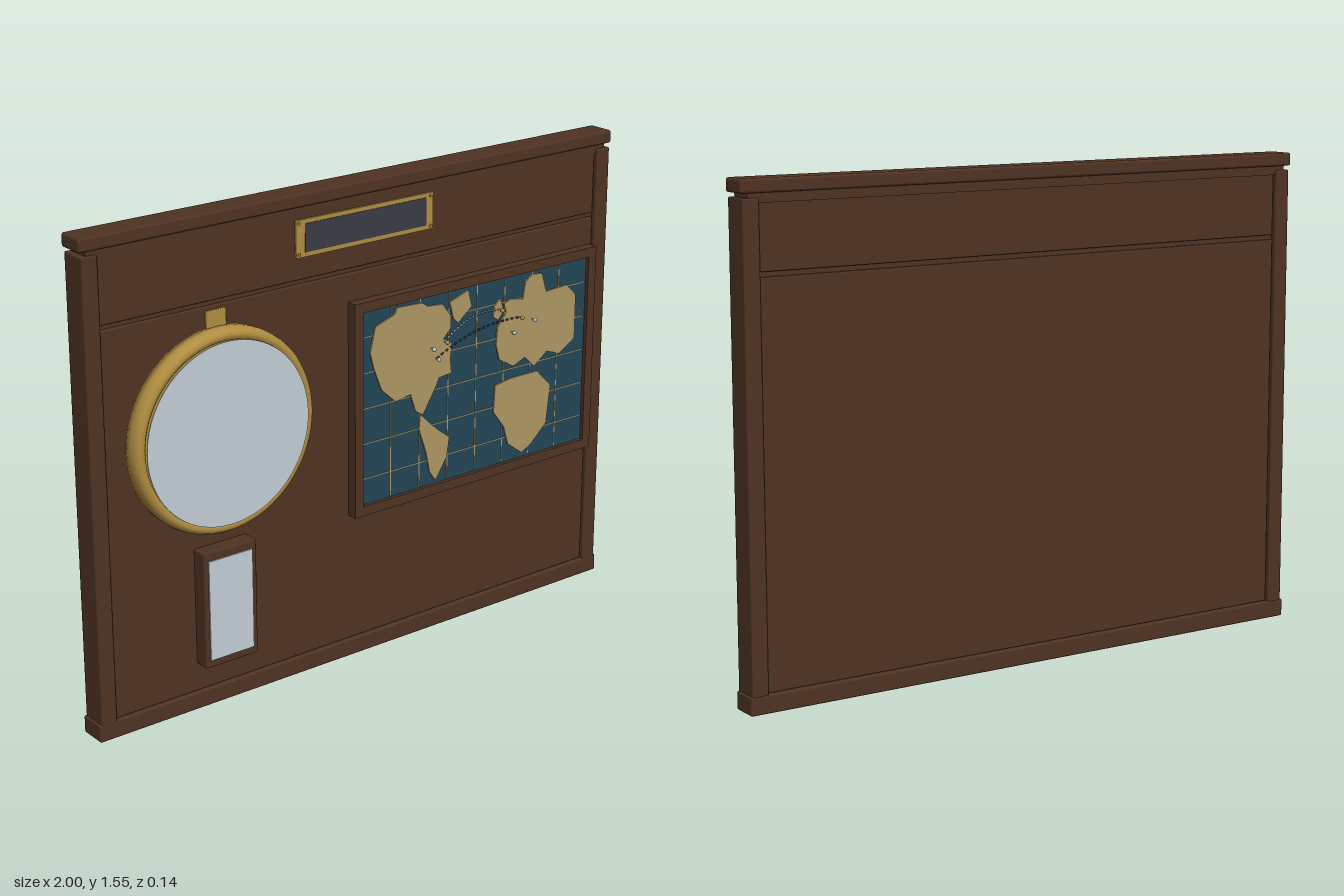
import * as THREE from 'three';
import { RoundedBoxGeometry } from 'three/addons/geometries/RoundedBoxGeometry.js';

const paint = (name, color, side = THREE.FrontSide) => {
  const m = new THREE.MeshStandardMaterial({ color, side });
  m.name = name;
  return m;
};

export function createModel() {
  const wood = paint('dark wood', 0x4f3323);
  const brass = paint('brass', 0xb08d40);
  const glass = paint('pale glass', 0xc3ced5);
  const sea = paint('sea blue', 0x234558);
  const land = paint('parchment land', 0xae9762);
  const slate = paint('slate plate', 0x3b3b46);
  const silver = paint('silver', 0xb9c4cc);

  const root = new THREE.Group();
  root.name = 'wallPanel';
  const group = (name) => {
    const g = new THREE.Group();
    g.name = name;
    root.add(g);
    return g;
  };
  const add = (parent, name, geometry, material, x = 0, y = 0, z = 0) => {
    const m = new THREE.Mesh(geometry, material);
    m.name = name;
    m.position.set(x, y, z);
    parent.add(m);
    return m;
  };
  // Box given by its limits; r rounds the edges
  const block = (parent, name, mat, x0, x1, y0, y1, z0, z1, r = 0) => {
    const s = [x1 - x0, y1 - y0, z1 - z0];
    const g = r ? new RoundedBoxGeometry(...s, 2, r) : new THREE.BoxGeometry(...s);
    return add(parent, name, g, mat, (x0 + x1) / 2, (y0 + y1) / 2, (z0 + z1) / 2);
  };
  // Rectangular frame with an open centre
  const frame = (parent, name, mat, x0, x1, y0, y1, w, z0, z1) => {
    const rect = (path, a, b, c, d) =>
      path.moveTo(a, c).lineTo(b, c).lineTo(b, d).lineTo(a, d).closePath();
    const shape = new THREE.Shape();
    rect(shape, x0, x1, y0, y1);
    const hole = new THREE.Path();
    rect(hole, x0 + w, x1 - w, y0 + w, y1 - w);
    shape.holes.push(hole);
    const g = new THREE.ExtrudeGeometry(shape, { depth: z1 - z0, bevelEnabled: false });
    return add(parent, name, g, mat, 0, 0, z0);
  };

  // Wooden wall section
  const wall = group('wall');
  block(wall, 'core', wood, -0.95, 0.95, 0.04, 1.5, -0.05, 0);
  block(wall, 'lowerPanel', wood, -0.937, 0.937, 0.058, 1.27, -0.06, 0.01, 0.004);
  block(wall, 'upperPanel', wood, -0.937, 0.937, 1.285, 1.5, -0.06, 0.01, 0.004);
  block(wall, 'baseRail', wood, -1, 1, 0, 0.057, -0.072, 0.02, 0.006);
  block(wall, 'topNeck', wood, -0.975, 0.975, 1.48, 1.52, -0.064, 0.013);
  block(wall, 'topRail', wood, -1, 1, 1.508, 1.55, -0.072, 0.02, 0.008);
  for (const s of [-1, 1]) {
    const [a, b] = s > 0 ? [0.94, 0.993] : [-0.993, -0.94];
    block(wall, s > 0 ? 'leftPost' : 'rightPost', wood, a, b, 0.045, 1.495, -0.07, 0.02, 0.005);
  }

  // Nameplate with corner screws
  const plate = group('nameplate');
  block(plate, 'plateBacking', brass, -0.262, 0.258, 1.355, 1.47, 0.005, 0.017);
  block(plate, 'plateFace', slate, -0.23, 0.23, 1.369, 1.457, 0.015, 0.019);
  for (const x of [-0.252, 0.248]) for (const y of [1.365, 1.46]) {
    const screw = add(plate, 'screw', new THREE.CylinderGeometry(0.005, 0.005, 0.006, 10), brass, x, y, 0.018);
    screw.rotation.x = Math.PI / 2;
  }

  // Round glass in a brass ring
  const round = group('roundGlass');
  round.position.set(-0.55, 0.89, 0);
  const profile = [
    [0.28, 0.01], [0.318, 0.01], [0.319, 0.035], [0.316, 0.05], [0.31, 0.06],
    [0.3, 0.065], [0.289, 0.063], [0.282, 0.056], [0.28, 0.045], [0.28, 0.01],
  ].map(([r, h]) => new THREE.Vector2(r, h));
  add(round, 'brassRing', new THREE.LatheGeometry(profile.reverse(), 72),
    paint('brass', 0xb08d40, THREE.DoubleSide), 0, 0, 0).rotation.x = Math.PI / 2;
  round.children[0].material = brass;
  brass.side = THREE.DoubleSide;
  const disc = (name, r, d, mat, z) => {
    add(round, name, new THREE.CylinderGeometry(r, r, d, 72), mat, 0, 0, z).rotation.x = Math.PI / 2;
  };
  disc('ringBacking', 0.282, 0.02, brass, 0.02);
  disc('hub', 0.014, 0.05, brass, 0.045);
  disc('glassDisc', 0.286, 0.003, glass, 0.071);
  block(round, 'hangerTab', brass, -0.034, 0.034, 0.31, 0.367, 0.005, 0.02, 0.003);

  // Small framed glass below
  const small = group('smallGlass');
  block(small, 'smallFrame', wood, -0.645, -0.455, 0.15, 0.527, 0.005, 0.061, 0.004);
  block(small, 'smallPane', glass, -0.63, -0.472, 0.175, 0.5, 0.059, 0.065);

  // Framed map
  const map = group('map');
  frame(map, 'mapFrame', wood, -0.065, 0.928, 0.482, 1.18, 0.032, 0.005, 0.044);
  block(map, 'sea', sea, -0.036, 0.898, 0.512, 1.15, 0.005, 0.031);
  for (let k = -3; k <= 3; k++) {
    const x = 0.43 + k * 0.1155;
    block(map, 'meridian', land, x - 0.0015, x + 0.0015, 0.52, 1.143, 0.03, 0.0325);
  }
  for (let k = -2; k <= 2; k++) {
    const y = 0.832 + k * 0.116;
    block(map, 'parallel', land, -0.025, 0.887, y - 0.0015, y + 0.0015, 0.03, 0.0325);
  }

  // Land outlines, in thousandths
  const lands = {
    northwestLand: [0, 1010, 20, 1090, 95, 1115, 105, 1135, 205, 1130, 225, 1115, 285, 1110, 320, 1065,
      320, 1025, 290, 995, 325, 975, 320, 920, 325, 875, 275, 870, 260, 840, 210, 760, 180, 780,
      160, 840, 100, 830, 45, 880, 15, 955],
    southwestLand: [200, 765, 240, 725, 280, 690, 320, 660, 310, 595, 265, 525, 240, 560, 225, 630, 195, 715],
    northIsland: [315, 1110, 390, 1135, 405, 1080, 350, 1035, 330, 1055],
    smallIsland: [500, 1060, 525, 1080, 540, 1035, 515, 1010, 495, 1025],
    northeastLand: [515, 985, 550, 1030, 540, 1060, 570, 1070, 620, 1060, 630, 1115, 660, 1135, 700, 1130,
      720, 1065, 810, 1070, 850, 1030, 850, 880, 785, 840, 730, 860, 675, 820, 635, 860, 585, 840,
      525, 875, 510, 930],
    southeastLand: [510, 790, 575, 800, 690, 800, 750, 740, 735, 610, 670, 550, 630, 530, 570, 575, 550, 640, 505, 700],
  };
  for (const [name, p] of Object.entries(lands)) {
    const pts = [];
    for (let i = 0; i < p.length; i += 2) pts.push(new THREE.Vector2(p[i] / 1000, p[i + 1] / 1000));
    const g = new THREE.ExtrudeGeometry(new THREE.Shape(pts), { depth: 0.006, bevelEnabled: false });
    add(map, name, g, land, 0, 0, 0.03);
  }

  // Pins and dashed routes
  const pins = [[0.24, 0.975], [0.293, 0.987], [0.26, 0.937], [0.52, 1.045], [0.572, 0.96], [0.605, 1.003], [0.66, 0.985]];
  pins.forEach(([x, y], i) => {
    add(map, 'pinHead', new THREE.SphereGeometry(0.007, 12, 8), i % 2 ? brass : silver, x, y, 0.052);
    add(map, 'pinShaft', new THREE.CylinderGeometry(0.002, 0.002, 0.02, 6), silver, x, y, 0.042).rotation.x = Math.PI / 2;
  });
  const routes = [
    [[0.293, 0.987], [0.4, 1.07], [0.52, 1.045], silver],
    [[0.26, 0.937], [0.42, 1.02], [0.605, 1.003], slate],
  ];
  for (const [a, b, c, mat] of routes) {
    const v = ([x, y]) => new THREE.Vector3(x, y, 0.039);
    const curve = new THREE.QuadraticBezierCurve3(v(a), v(b), v(c));
    for (let i = 0; i < 18; i++) {
      const dash = new THREE.LineCurve3(curve.getPoint(i / 18), curve.getPoint((i + 0.6) / 18));
      add(map, 'routeDash', new THREE.TubeGeometry(dash, 1, 0.003, 6), mat);
    }
  }
  return root;
}
